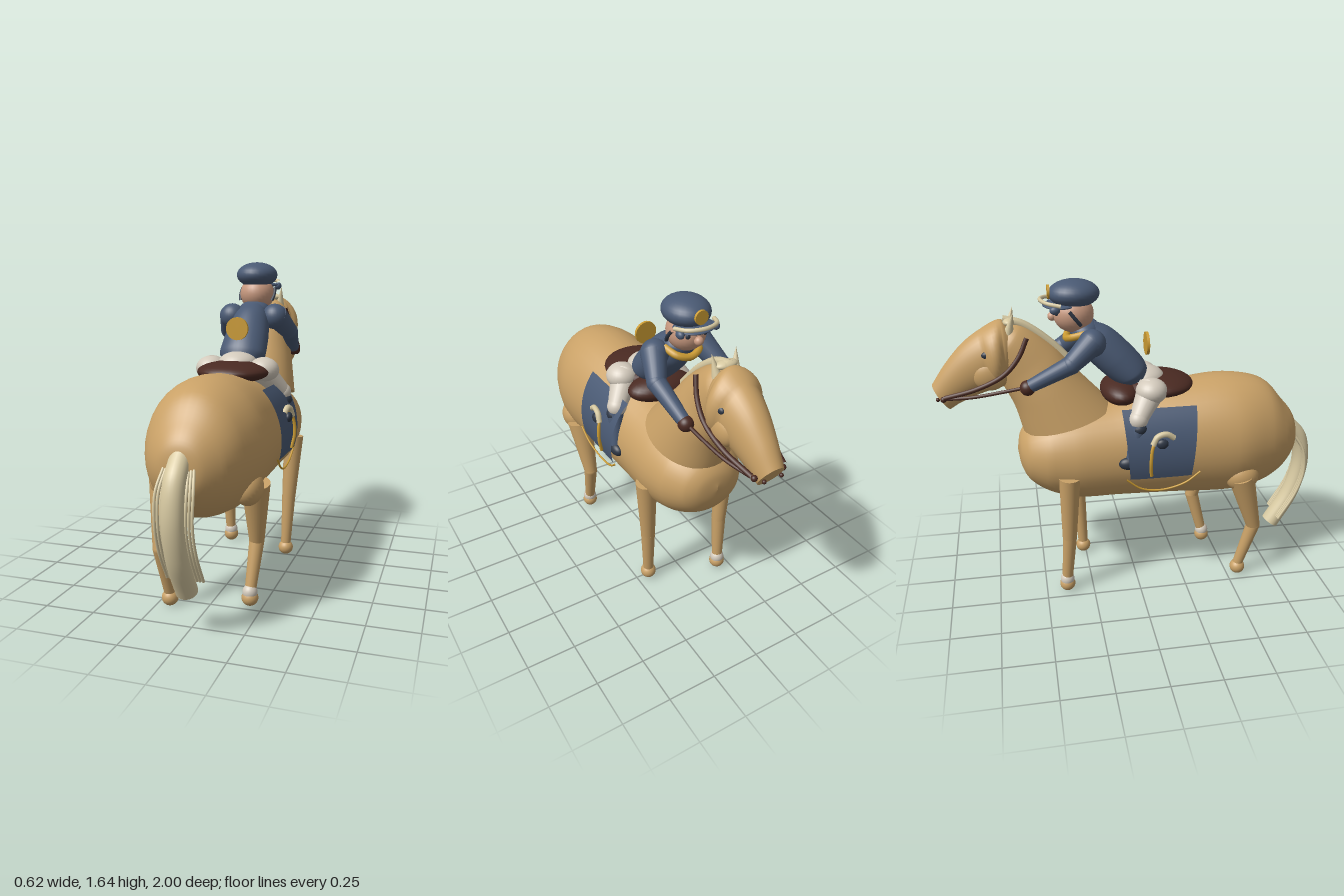
import * as THREE from 'three';

const mat = (name, color, side = THREE.FrontSide) =>
  Object.assign(new THREE.MeshStandardMaterial({ color, side }), { name });

export function createModel() {
  const root = new THREE.Group();
  root.name = 'horseAndRider';
  const tan = mat('tanCoat', 0xc9a167), cream = mat('creamHair', 0xd8caa2), white = mat('offWhite', 0xd3cabc);
  const slate = mat('slateCloth', 0x4a5a74, THREE.DoubleSide), dark = mat('darkBoots', 0x2e3745);
  const brown = mat('brownLeather', 0x4a2a22), skin = mat('skin', 0xc99a80), gold = mat('gold', 0xcc9c33);
  const V = (p) => new THREE.Vector3(...p);
  const flip = ([x, y, z], s) => [x * s, y, z];

  const add = (name, geo, m, pos = [0, 0, 0]) => {
    const mesh = new THREE.Mesh(geo, m);
    mesh.name = name;
    mesh.position.set(...pos);
    root.add(mesh);
    return mesh;
  };
  const ball = (name, m, pos, rx, ry = rx, rz = rx) => {
    const mesh = add(name, new THREE.SphereGeometry(1, 28, 18), m, pos);
    mesh.scale.set(rx, ry, rz);
    return mesh;
  };
  // Tapered round bar between two points
  const limb = (name, m, a, b, ra, rb) => {
    const A = V(a), B = V(b), d = B.clone().sub(A);
    const mesh = add(name, new THREE.CylinderGeometry(rb, ra, d.length(), 24), m);
    mesh.position.copy(A).add(B).multiplyScalar(0.5);
    mesh.quaternion.setFromUnitVectors(new THREE.Vector3(0, 1, 0), d.normalize());
    return mesh;
  };
  const tube = (name, m, pts, r) =>
    add(name, new THREE.TubeGeometry(new THREE.CatmullRomCurve3(pts.map(V)), 28, r, 8), m);

  // Smooth loft of ellipses; each station is [yTop, zTop, yBottom, zBottom, halfWidth]
  const loft = (name, m, stations, n = 40, seg = 36) => {
    const curve = (f) => new THREE.CatmullRomCurve3(stations.map((s) => V(f(s))));
    const tops = curve((s) => [0, s[0], s[1]]), bots = curve((s) => [0, s[2], s[3]]);
    const wide = curve((s) => [s[4], 0, 0]);
    const pos = [], idx = [];
    const ring = (u) => {
      const a = tops.getPoint(u), b = bots.getPoint(u), w = Math.max(wide.getPoint(u).x, 0.001);
      const c = a.clone().add(b).multiplyScalar(0.5), up = a.sub(c);
      for (let j = 0; j < seg; j++) {
        const t = (j / seg) * Math.PI * 2, s = Math.sin(t);
        pos.push(w * Math.cos(t), c.y + up.y * s, c.z + up.z * s);
      }
      return c;
    };
    for (let i = 0; i <= n; i++) ring(i / n);
    for (let i = 0; i < n; i++) for (let j = 0; j < seg; j++) {
      const k = (j + 1) % seg, p = i * seg, q = p + seg;
      idx.push(p + j, q + j, p + k, q + j, q + k, p + k);
    }
    for (const end of [0, 1]) {
      const base = pos.length / 3, c = ring(end), mid = base + seg;
      pos.push(c.x, c.y, c.z);
      for (let j = 0; j < seg; j++) {
        const k = (j + 1) % seg;
        idx.push(mid, base + (end ? k : j), base + (end ? j : k));
      }
    }
    const g = new THREE.BufferGeometry();
    g.setAttribute('position', new THREE.Float32BufferAttribute(pos, 3));
    g.setIndex(idx);
    g.computeVertexNormals();
    return add(name, g, m);
  };

  // Horse body, neck, head, tail
  const barrel = [[0.89, 0.77, 0, 0.01], [0.87, 0.77, 0.1, 0.11], [0.8, 0.77, 0.18, 0.2], [0.7, 0.79, 0.235, 0.285],
    [0.5, 0.795, 0.285, 0.325], [0.2, 0.785, 0.27, 0.305], [-0.1, 0.76, 0.255, 0.27], [-0.3, 0.75, 0.25, 0.255],
    [-0.45, 0.755, 0.225, 0.215], [-0.55, 0.76, 0.165, 0.15], [-0.59, 0.77, 0.1, 0.085], [-0.605, 0.775, 0, 0.01]];
  loft('body', tan, barrel.map(([z, y, w, h]) => [y + h, z, y - h, z, w]), 66);
  loft('neck', tan, [[1.0, -0.11, 0.88, -0.57, 0.2], [1.18, -0.28, 1.03, -0.61, 0.16], [1.32, -0.4, 1.14, -0.66, 0.125],
    [1.43, -0.55, 1.25, -0.7, 0.1], [1.44, -0.62, 1.32, -0.72, 0.06]]);
  loft('head', tan, [[1.44, -0.62, 1.2, -0.6, 0.095], [1.46, -0.65, 1.14, -0.63, 0.112], [1.415, -0.75, 1.115, -0.7, 0.112],
    [1.35, -0.84, 1.085, -0.79, 0.095], [1.25, -0.93, 1.05, -0.87, 0.075], [1.15, -1.0, 1.02, -0.92, 0.06]]);
  loft('tail', cream, [[0.76, 0.85, 0.86, 0.87, 0.048], [0.7, 0.89, 0.75, 0.965, 0.05], [0.58, 0.91, 0.58, 0.995, 0.052],
    [0.41, 0.87, 0.37, 0.95, 0.053], [0.225, 0.765, 0.175, 0.845, 0.052]], 30, 24);
  tube('mane', cream, [[0, 1.46, -0.64], [0, 1.435, -0.55], [0, 1.34, -0.42], [0, 1.2, -0.29]], 0.022);
  ball('forelock', cream, [0, 1.45, -0.61], 0.055, 0.02, 0.03);

  // Legs: side, hip, knee, ankle, upper radius, sock
  const legs = [
    ['frontLeg', 1, [0.215, 0.69, -0.3], [0.195, 0.33, -0.28], [0.185, 0.06, -0.265], 0.054, false],
    ['frontLeg', -1, [0.215, 0.69, -0.36], [0.195, 0.33, -0.37], [0.185, 0.06, -0.39], 0.054, true],
    ['hindLeg', 1, [0.215, 0.62, 0.46], [0.2, 0.31, 0.385], [0.185, 0.06, 0.45], 0.07, true],
    ['hindLeg', -1, [0.215, 0.62, 0.54], [0.2, 0.31, 0.63], [0.185, 0.06, 0.56], 0.07, false]];
  for (const [name, s, hip, knee, ankle, r, sock] of legs) {
    const [h, k, a] = [hip, knee, ankle].map((p) => flip(p, s));
    limb(name + 'Upper', tan, h, k, r, 0.037);
    ball(name + 'Knee', tan, k, 0.037);
    limb(name + 'Lower', tan, k, a, 0.037, 0.027);
    ball(name + 'Hoof', tan, [a[0], 0.04, a[2]], 0.041, 0.04, 0.041);
    if (sock) ball(name + 'Sock', white, [a[0], 0.068, a[2]], 0.037, 0.04, 0.037);
  }

  // Rider's centre parts, saddle
  ball('saddleSeat', brown, [0, 1.095, 0.13], 0.185, 0.055, 0.18);
  ball('saddlePommel', brown, [0, 1.07, -0.07], 0.175, 0.065, 0.1);
  ball('riderHips', white, [0, 1.13, 0.06], 0.1, 0.06, 0.1);
  loft('torso', slate, [[1.17, 0.075, 1.1, -0.06, 0.1], [1.22, 0.055, 1.12, -0.1, 0.122], [1.31, -0.02, 1.19, -0.18, 0.115],
    [1.4, -0.12, 1.28, -0.26, 0.095], [1.43, -0.19, 1.34, -0.28, 0.07]]);
  ball('collar', slate, [0, 1.385, -0.24], 0.085, 0.055, 0.075);
  tube('scarf', gold, [[-0.085, 1.39, -0.25], [-0.06, 1.37, -0.315], [0, 1.355, -0.335], [0.06, 1.37, -0.315], [0.085, 1.39, -0.25]], 0.018);
  add('backDisc', new THREE.CylinderGeometry(0.058, 0.058, 0.014, 32), gold, [0, 1.305, 0.07]).rotation.x = Math.PI / 2;
  ball('riderHead', skin, [0, 1.475, -0.295], 0.092, 0.092, 0.1);
  ball('nose', skin, [0, 1.465, -0.4], 0.022);
  ball('cap', slate, [0, 1.575, -0.29], 0.11, 0.068, 0.125);
  ball('capPeak', slate, [0, 1.522, -0.36], 0.1, 0.014, 0.085);
  tube('peakTrim', cream, [[-0.105, 1.535, -0.36], [-0.075, 1.545, -0.425], [0, 1.55, -0.455], [0.075, 1.545, -0.425], [0.105, 1.535, -0.36]], 0.01);
  add('capBadge', new THREE.CylinderGeometry(0.034, 0.034, 0.012, 24), gold, [0, 1.585, -0.413]).rotation.x = Math.PI / 2;

  // Everything mirrored left and right
  for (const s of [1, -1]) {
    const at = (...p) => flip(p, s);
    // Horse details
    ball('haunch', tan, at(0.205, 0.62, 0.545), 0.07, 0.085, 0.09);
    ball('cheek', tan, at(0.075, 1.21, -0.715), 0.05, 0.08, 0.085);
    ball('horseEye', dark, at(0.1, 1.315, -0.72), 0.016, 0.019, 0.028);
    ball('nostril', dark, at(0.04, 1.12, -0.965), 0.012);
    const ear = add('ear', new THREE.ConeGeometry(0.025, 0.11, 16), cream, at(0.055, 1.455, -0.6));
    ear.rotation.set(0.25, 0, -0.15 * s);
    for (const x of [0.055, 0.07, 0.085])
      tube('tailStrand', cream, [at(x * 0.8, 0.78, 0.87), at(x, 0.68, 0.93), at(x, 0.55, 0.945), at(x, 0.42, 0.91), at(x, 0.26, 0.82)], 0.007);
    // Bridle and reins
    tube('cheekStrap', brown, [at(0.1, 1.39, -0.53), at(0.12, 1.3, -0.575), at(0.13, 1.22, -0.65), at(0.12, 1.155, -0.78), at(0.085, 1.105, -0.94)], 0.012);
    tube('rein', brown, [at(0.15, 1.16, -0.55), at(0.14, 1.14, -0.66), at(0.12, 1.115, -0.8), at(0.085, 1.1, -0.93)], 0.009);
    ball('bitRing', brown, at(0.075, 1.095, -0.945), 0.015);
    ball('bitEnd', brown, at(0.045, 1.085, -0.975), 0.01);
    // Saddle cloth bent over the flank
    const cloth = new THREE.PlaneGeometry(1, 1, 16, 16), p = cloth.attributes.position;
    for (let i = 0; i < p.count; i++) {
      const u = p.getX(i) + 0.5, v = 0.5 - p.getY(i);
      const y = 1.03 - v * (0.36 - 0.05 * (u - 0.5) ** 2) + 0.01 * v * Math.sin(u * Math.PI);
      const z = THREE.MathUtils.lerp(0.29 - 0.035 * v, -0.09 + 0.03 * v, u);
      p.setXYZ(i, s * 0.288 * Math.sqrt(1 - ((y - 0.785) / 0.335) ** 2), y, z);
    }
    cloth.computeVertexNormals();
    add('saddleCloth', cloth, slate);
    tube('girthCord', gold, [at(0.276, 0.7, 0.3), at(0.272, 0.64, 0.22), at(0.262, 0.605, 0.1), at(0.262, 0.62, 0), at(0.268, 0.68, -0.08)], 0.005);
    tube('stirrupStrap', gold, [at(0.275, 0.9, 0.075), at(0.292, 0.86, 0.05), at(0.3, 0.78, 0.04), at(0.285, 0.7, 0.045)], 0.009);
    tube('crescentHook', cream, [at(0.272, 0.895, 0.16), at(0.278, 0.92, 0.12), at(0.282, 0.91, 0.075), at(0.288, 0.87, 0.05)], 0.015);
    ball('hookKnob', dark, at(0.282, 0.87, 0.1), 0.018, 0.026, 0.03);
    // Rider's leg
    limb('thigh', white, at(0.11, 1.11, 0.08), at(0.215, 0.98, -0.01), 0.075, 0.048);
    ball('thighTop', white, at(0.14, 1.1, 0.07), 0.08, 0.065, 0.08);
    ball('riderKnee', white, at(0.215, 0.98, -0.01), 0.05);
    limb('bootShaft', slate, at(0.222, 0.95, -0.01), at(0.25, 0.78, -0.05), 0.043, 0.03);
    ball('bootTop', dark, at(0.228, 0.94, -0.008), 0.042, 0.035, 0.042);
    ball('foot', dark, at(0.255, 0.765, -0.065), 0.03, 0.033, 0.05);
    // Rider's arm
    ball('shoulder', slate, at(0.12, 1.355, -0.22), 0.068);
    limb('upperArm', slate, at(0.125, 1.36, -0.22), at(0.175, 1.27, -0.33), 0.064, 0.046);
    ball('elbow', slate, at(0.175, 1.27, -0.33), 0.047);
    limb('forearm', slate, at(0.175, 1.27, -0.33), at(0.152, 1.165, -0.53), 0.046, 0.032);
    ball('glove', brown, at(0.15, 1.158, -0.54), 0.038);
    // Rider's face
    ball('riderEye', dark, at(0.045, 1.49, -0.38), 0.012, 0.014, 0.01);
    ball('peakEnd', slate, at(0.093, 1.515, -0.39), 0.018, 0.02, 0.025);
    tube('capStrap', dark, [at(0.088, 1.435, -0.268), at(0.096, 1.47, -0.295), at(0.092, 1.505, -0.322)], 0.009);
  }
  return root;
}
